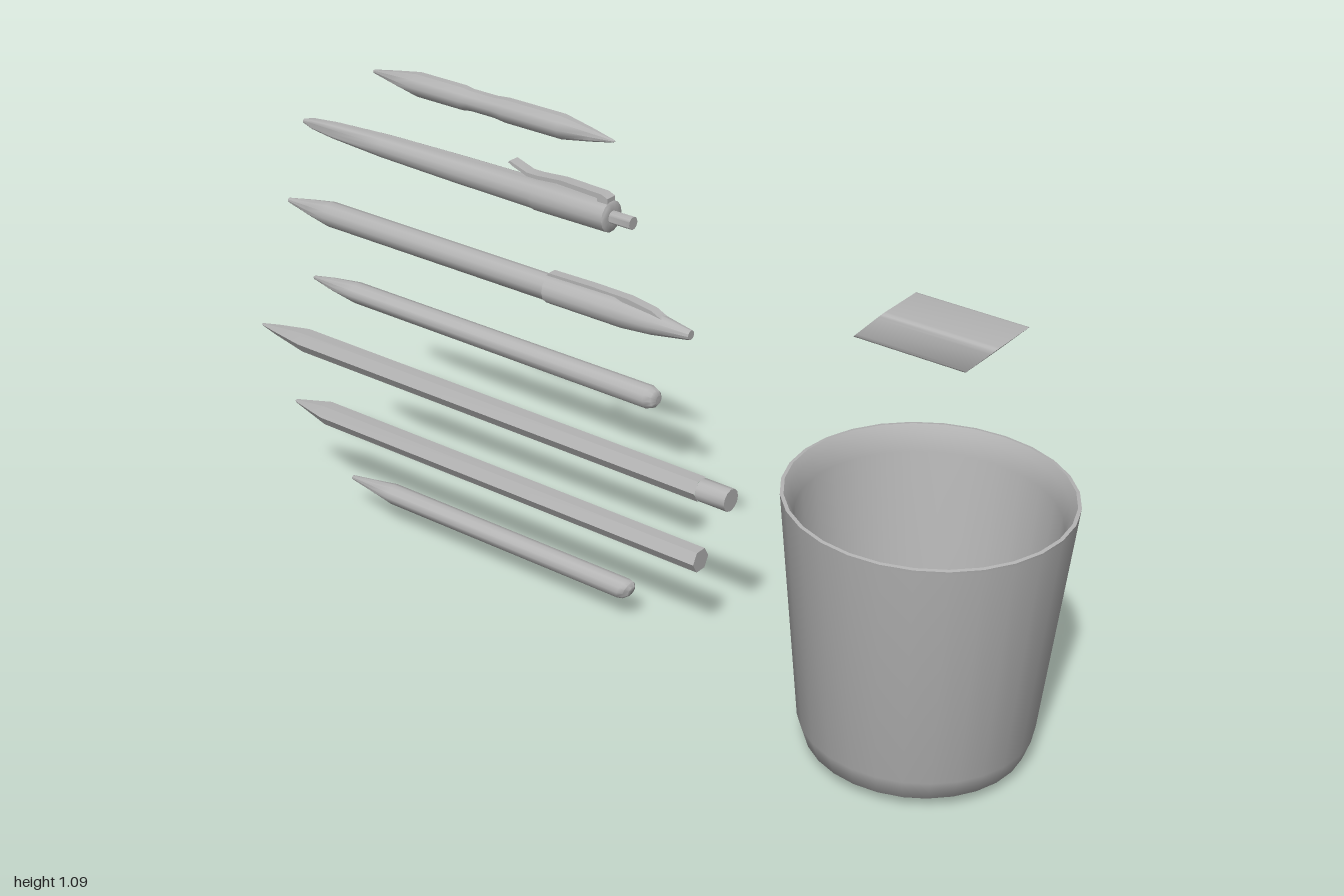
import * as THREE from 'three';
import { toCreasedNormals } from 'three/addons/utils/BufferGeometryUtils.js';

const grey = new THREE.MeshStandardMaterial({ color: 0xb4b4b4 });
grey.name = 'plain grey';

function part(name, geometry, parent, crease = 0.6) {
  const mesh = new THREE.Mesh(toCreasedNormals(geometry, crease), grey);
  mesh.name = name;
  parent.add(mesh);
  return mesh;
}

// Solid of revolution lying along x; profile is [x, radius] from tip to end
function turned(profile, sides) {
  const pts = profile.map(([x, r]) => new THREE.Vector2(r, x));
  return new THREE.LatheGeometry(pts, sides).rotateZ(-Math.PI / 2);
}

// Side outline in x, y extruded symmetrically across z
function slab(outline, width) {
  const shape = new THREE.Shape(outline.map(([x, y]) => new THREE.Vector2(x, y)));
  return new THREE.ExtrudeGeometry(shape, { depth: width, bevelEnabled: false })
    .translate(0, 0, -width / 2);
}

const WRITERS = [
  { name: 'doubleEndedPencil', y: 1.065, sides: 10, profile: [
    [-0.625, 0], [-0.62, 0.004], [-0.56, 0.015], [-0.5, 0.025], [-0.38, 0.025], [-0.36, 0.022],
    [-0.3, 0.022], [-0.27, 0.025], [-0.13, 0.025], [-0.06, 0.013], [-0.01, 0.003], [-0.005, 0]] },
  { name: 'clickPen', y: 0.908, sides: 14, profile: [
    [-0.83, 0], [-0.828, 0.005], [-0.8, 0.012], [-0.74, 0.018], [-0.6, 0.025], [-0.4, 0.029],
    [-0.2, 0.031], [-0.19, 0.033], [-0.015, 0.032], [-0.012, 0.028], [-0.012, 0.013],
    [0.038, 0.013], [0.038, 0]] },
  { name: 'cappedMarker', y: 0.712, sides: 12, profile: [
    [-0.89, 0], [-0.888, 0.005], [-0.82, 0.018], [-0.765, 0.027], [-0.17, 0.027], [-0.168, 0.03],
    [0.02, 0.03], [0.09, 0.024], [0.178, 0.01], [0.18, 0]] },
  { name: 'shortPen', y: 0.547, sides: 12, profile: [
    [-0.83, 0], [-0.825, 0.004], [-0.77, 0.014], [-0.7, 0.023], [0.08, 0.024], [0.095, 0.018],
    [0.102, 0.009], [0.104, 0]] },
  { name: 'longPencil', y: 0.383, sides: 6, profile: [
    [-1, 0], [-0.995, 0.003], [-0.95, 0.012], [-0.865, 0.026], [0.21, 0.026]] },
  { name: 'plainPencil', y: 0.22, sides: 6, profile: [
    [-0.91, 0], [-0.905, 0.004], [-0.81, 0.026], [0.21, 0.026], [0.21, 0]] },
  { name: 'crayon', y: 0.08, sides: 12, profile: [
    [-0.745, 0], [-0.742, 0.005], [-0.68, 0.014], [-0.62, 0.023], [0.015, 0.023],
    [0.028, 0.02], [0.036, 0.012], [0.038, 0]] },
];

export function createModel() {
  const model = new THREE.Group();
  model.name = 'deskStationery';

  // Writing tools stacked in a column
  const tools = {};
  for (const { name, y, sides, profile } of WRITERS) {
    const group = new THREE.Group();
    group.name = name;
    group.position.y = y;
    model.add(group);
    const geometry = turned(profile, sides);
    if (name === 'crayon') { // worn, slanted end
      const p = geometry.attributes.position;
      for (let i = 0; i < p.count; i++) {
        if (p.getX(i) > 0) p.setX(i, p.getX(i) + p.getY(i) * 0.35);
      }
    }
    part(name + 'Body', geometry, group, sides === 6 ? 0.3 : 0.9);
    tools[name] = group;
  }

  // Ferrule and eraser end of the long pencil
  part('pencilFerrule', turned([[0.21, 0.024], [0.28, 0.024], [0.28, 0]], 12), tools.longPencil);

  // Springy clip on the click pen
  part('penClip', slab([
    [-0.262, 0.054], [-0.25, 0.048], [-0.215, 0.036], [-0.19, 0.036], [-0.14, 0.04], [-0.04, 0.036],
    [-0.04, 0.025], [-0.015, 0.025], [-0.015, 0.04], [-0.03, 0.046], [-0.13, 0.049],
    [-0.19, 0.044], [-0.215, 0.044], [-0.258, 0.058]], 0.024), tools.clickPen);

  // Clip on the marker cap
  part('markerClip', slab([
    [-0.17, 0.031], [0.0, 0.033], [0.03, 0.024], [0.12, 0.015], [0.09, 0.029],
    [0.03, 0.038], [-0.06, 0.039], [-0.165, 0.037]], 0.02), tools.cappedMarker);

  // Slanted eraser: rounded rectangle section in z, y swept along x and sheared
  const hw = 0.061, hh = 0.033, c = 0.012;
  const section = new THREE.Shape();
  section.moveTo(-hw + c, -hh);
  section.lineTo(hw - c, -hh);
  section.quadraticCurveTo(hw, -hh, hw, -hh + c);
  section.lineTo(hw, hh - c);
  section.quadraticCurveTo(hw, hh, hw - c, hh);
  section.lineTo(-hw + c, hh);
  section.quadraticCurveTo(-hw, hh, -hw, hh - c);
  section.lineTo(-hw, -hh + c);
  section.quadraticCurveTo(-hw, -hh, -hw + c, -hh);
  const block = new THREE.ExtrudeGeometry(section, { depth: 0.232, bevelEnabled: false, curveSegments: 4 })
    .translate(0, 0, -0.116).rotateY(Math.PI / 2);
  block.applyMatrix4(new THREE.Matrix4().set(1, 0.93, 0, 0, 0, 1, 0, 0, 0, 0, 1, 0, 0, 0, 0, 1));
  part('eraser', block, model).position.set(0.722, 0.884, 0);

  // Tapered cup with rounded base, rolled rim and hollow inside
  const cupProfile = [
    [0, 0], [0.15, 0.001], [0.19, 0.009], [0.214, 0.027], [0.228, 0.07], [0.274, 0.548], [0.275, 0.555],
    [0.268, 0.556], [0.258, 0.54], [0.248, 0.505], [0.212, 0.07], [0.205, 0.035], [0.18, 0.025], [0, 0.025],
  ].map(([r, y]) => new THREE.Vector2(r, y));
  part('cup', new THREE.LatheGeometry(cupProfile, 28), model, 0.9).position.x = 0.722;

  return model;
}
